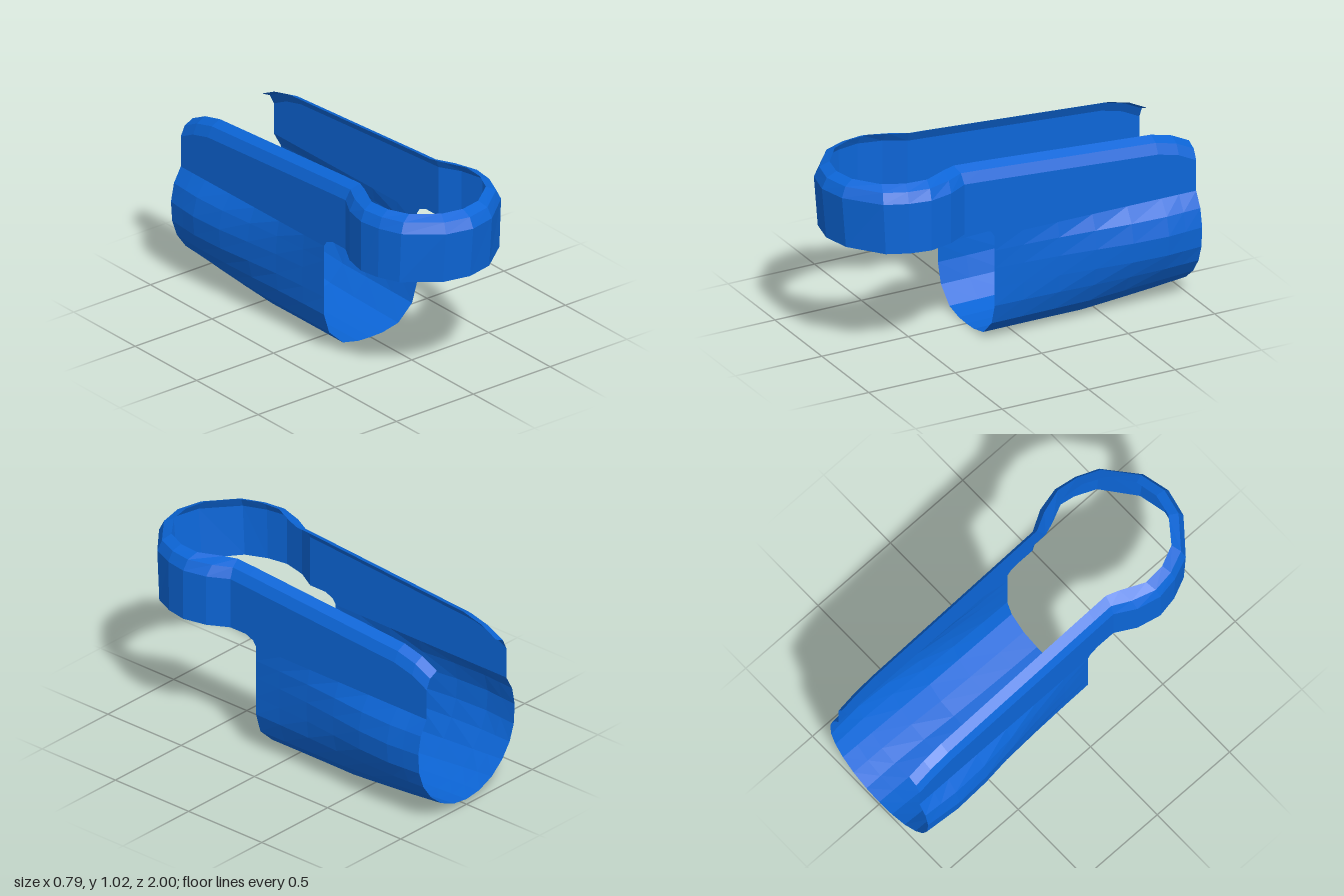
import * as THREE from 'three';

const material = new THREE.MeshStandardMaterial({
  color: 0x0c66d8, flatShading: true, side: THREE.DoubleSide,
});

// Piecewise linear lookup: keys rise in x
function ramp(keys, x) {
  if (x <= keys[0][0]) return keys[0][1];
  for (let i = 1; i < keys.length; i++) {
    const [a, va] = keys[i - 1], [b, vb] = keys[i];
    if (x <= b) return va + (vb - va) * (x - a) / (b - a);
  }
  return keys[keys.length - 1][1];
}

// Surface skinned across equally long rows of [x, y, z] points
function skin(rows, name) {
  const n = rows[0].length, index = [];
  for (let i = 0; i < rows.length - 1; i++) {
    for (let j = 0; j < n - 1; j++) {
      const a = i * n + j, b = a + n;
      index.push(a, b, a + 1, b, b + 1, a + 1);
    }
  }
  const g = new THREE.BufferGeometry();
  g.setAttribute('position', new THREE.Float32BufferAttribute(rows.flat(2), 3));
  g.setIndex(index);
  g.computeVertexNormals();
  const mesh = new THREE.Mesh(g, material);
  mesh.name = name;
  return mesh;
}

// Half sections of the trough: plain U at the front, round bulge at the back
const uSection = [[0, 0], [0.08, 0.003], [0.18, 0.025], [0.27, 0.11], [0.303, 0.22],
  [0.303, 0.32], [0.303, 0.43], [0.303, 0.53], [0.303, 0.61]];
const roundSection = [[0, 0.03], [0.1, 0.042], [0.195, 0.083], [0.272, 0.15], [0.335, 0.23],
  [0.375, 0.32], [0.385, 0.43], [0.36, 0.53], [0.303, 0.61]];
const bulge = [[-1, 0.78], [-0.8, 1], [-0.6, 0.88], [-0.4, 0.57], [-0.2, 0.28], [0, 0.09], [0.16, 0]];
const lift = [[-1, 1], [-0.4, 0.1], [0.16, 0]];

function createTrough() {
  const rows = [-1, -0.9, -0.8, -0.6, -0.4, -0.2, 0, 0.165].map((z) => {
    const t = ramp(bulge, z), g = ramp(lift, z);
    const half = uSection.map(([x, y], i) => [
      x + (roundSection[i][0] - x) * t,
      y + (roundSection[i][1] - y) * g,
      z,
    ]);
    const mirrored = half.slice(1).reverse().map(([x, y, w]) => [-x, y, w]);
    return [...mirrored, ...half];
  });
  return skin(rows, 'trough');
}

// Heights of the rim and of the lower edge along the length
const rimHeight = [[-1, 0.86], [-0.9, 0.91], [-0.78, 0.94], [0.33, 1.018]];
const lowerEdge = [[0.165, 0.61], [0.185, 0.64], [0.235, 0.66]];

// Plan of one side: outer x, outer z, inner x, inner z of the lip
const plan = [
  ...[-1, -0.9, -0.78, -0.4, 0, 0.165, 0.185, 0.235].map((z) => [0.303, z, 0.225, z]),
  [0.303, 0.34, 0.225, 0.36], [0.365, 0.45, 0.25, 0.43], [0.395, 0.58, 0.31, 0.56],
  [0.375, 0.7, 0.3, 0.68], [0.325, 0.82, 0.25, 0.79], [0.15, 0.965, 0.12, 0.89],
  [0, 1, 0, 0.915],
];

// Side walls running into the front ring, with a bevelled lip turned inward
function createWall() {
  const other = plan.slice(0, -1).reverse().map(([ox, oz, ix, iz]) => [-ox, oz, -ix, iz]);
  const rows = [...plan, ...other].map(([ox, oz, ix, iz]) => {
    const top = ramp(rimHeight, oz);
    const lean = 0.025 * Math.max(0, (oz - 0.6) / 0.4);
    return [
      [ox, ramp(lowerEdge, oz), oz - lean],
      [ox, top - 0.08, oz],
      [ox + (ix - ox) * 0.33, top - 0.025, oz + (iz - oz) * 0.33],
      [ix, top, iz],
    ];
  });
  return skin(rows, 'wallsAndFrontRing');
}

export function createModel() {
  const group = new THREE.Group();
  group.name = 'clipHolder';
  group.add(createTrough(), createWall());
  return group;
}
